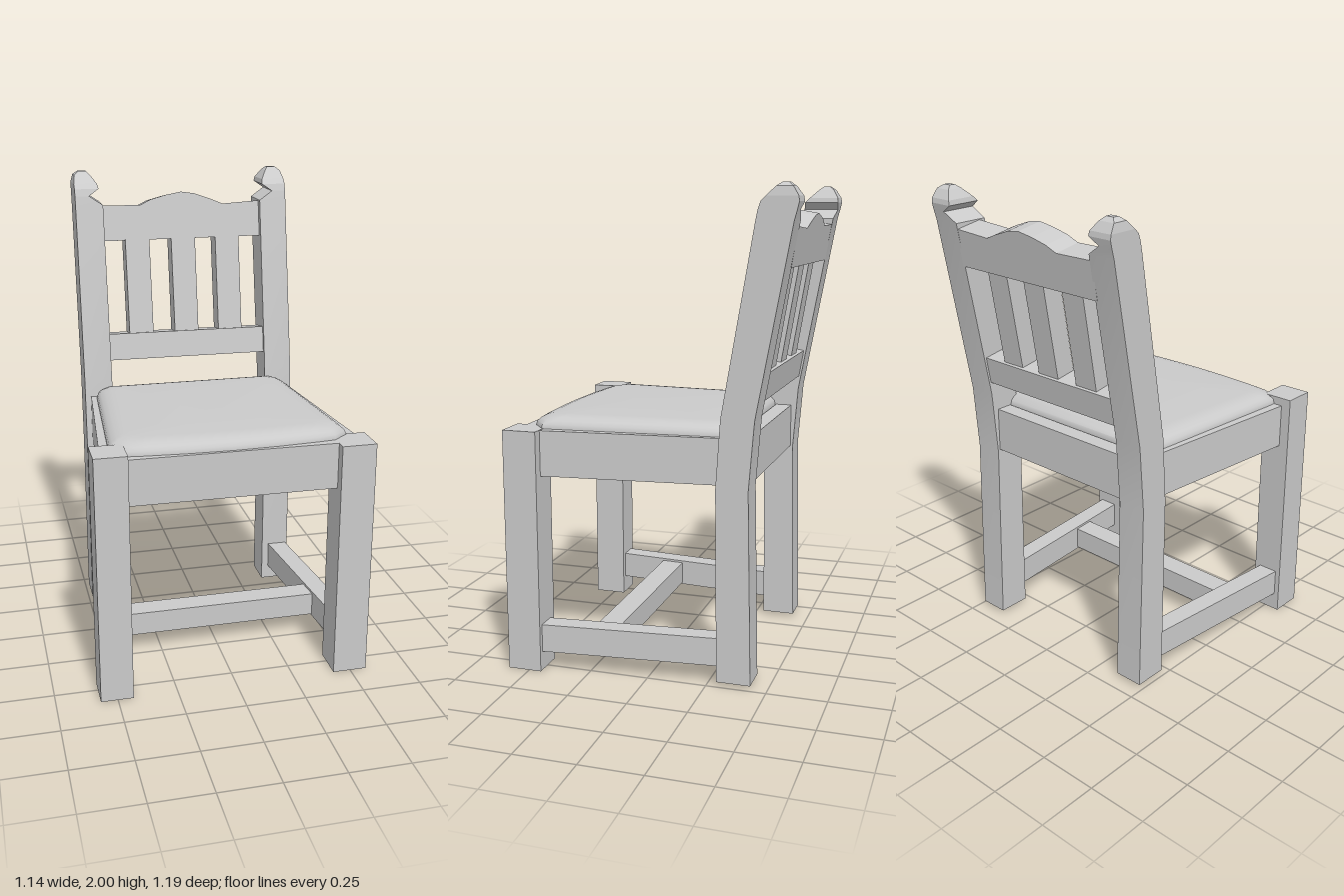
import * as THREE from 'three';
import { toCreasedNormals } from 'three/addons/utils/BufferGeometryUtils.js';

// Joins horizontal rings {y, pts: [[x, z], ...]} from the bottom up, with both ends closed.
function loft(rings, crease = 0.12) {
  const n = rings[0].pts.length;
  let area = 0;
  rings[0].pts.forEach(([x, z], i, p) => {
    const [x2, z2] = p[(i + 1) % n];
    area += x * z2 - x2 * z;
  });
  const pos = [], idx = [];
  for (const r of rings) {
    const pts = area > 0 ? [...r.pts].reverse() : r.pts;
    for (const [x, z] of pts) pos.push(x, r.y, z);
  }
  const addCentre = (r) => {
    const c = [0, 1].map((k) => r.pts.reduce((s, p) => s + p[k], 0) / n);
    pos.push(c[0], r.y, c[1]);
    return pos.length / 3 - 1;
  };
  const last = rings.length - 1;
  const bottom = addCentre(rings[0]), top = addCentre(rings[last]);
  for (let j = 0; j < n; j++) {
    const k = (j + 1) % n;
    for (let i = 0; i < last; i++) {
      const a = i * n + j, b = i * n + k;
      idx.push(a, b, b + n, a, b + n, a + n);
    }
    idx.push(bottom, k, j, top, last * n + j, last * n + k);
  }
  const g = new THREE.BufferGeometry();
  g.setAttribute('position', new THREE.Float32BufferAttribute(pos, 3));
  g.setIndex(idx);
  g.computeVertexNormals();
  return toCreasedNormals(g, crease);
}

const prism = (pts, y0, y1) => loft([{ y: y0, pts }, { y: y1, pts }]);
const rect = (x0, x1, z0, z1) => [[x0, z1], [x1, z1], [x1, z0], [x0, z0]];

// Panel that leans back along the slope of the rear posts, square to that slope.
function leaning(points, inset, depth) {
  const slope = 0.17;
  const shape = new THREE.Shape(points.map(([x, y]) => new THREE.Vector2(x, y)));
  const g = new THREE.ExtrudeGeometry(shape, { depth, bevelEnabled: false });
  const p = g.attributes.position;
  for (let i = 0; i < p.count; i++) {
    const y = p.getY(i), behind = p.getZ(i) - depth;
    p.setZ(i, -0.30 - slope * (y - 1.1) - inset + behind);
    p.setY(i, y + slope * behind);
  }
  g.computeVertexNormals();
  return g;
}

export function createModel() {
  const chair = new THREE.Group();
  chair.name = 'chair';
  const grey = new THREE.MeshStandardMaterial({ color: 0xcacaca });
  grey.name = 'plain grey';
  const add = (name, geometry) => {
    const mesh = new THREE.Mesh(geometry, grey);
    mesh.name = name;
    chair.add(mesh);
  };

  // Front legs, one slightly taller
  add('rightFrontLeg', prism(rect(-0.57, -0.435, 0.45, 0.59), 0, 1.055));
  add('leftFrontLeg', prism(rect(0.425, 0.57, 0.447, 0.592), 0, 1.022));

  // Rear posts with hooked finials: y, inner x, outer x, back z, front z
  const post = [
    [0.015, 0.36, 0.485, -0.432, -0.29],
    [0.82, 0.36, 0.485, -0.415, -0.282],
    [1.1, 0.36, 0.484, -0.437, -0.30],
    [1.86, 0.36, 0.482, -0.577, -0.43],
    [1.90, 0.42, 0.482, -0.588, -0.438],
    [1.93, 0.376, 0.482, -0.595, -0.448],
    [1.95, 0.38, 0.482, -0.592, -0.468],
    [1.985, 0.405, 0.475, -0.57, -0.505],
    [2.0, 0.42, 0.455, -0.55, -0.525],
  ];
  for (const [s, side] of [[1, 'left'], [-1, 'right']]) {
    add(side + 'RearPost', loft(post.map(([y, a, b, z0, z1]) =>
      ({ y, pts: rect(s * a, s * b, z0, z1) }))));
    // Side apron and side stretcher taper toward the back
    add(side + 'Apron', prism(
      [[s * 0.528, 0.46], [s * 0.458, -0.3], [s * 0.40, -0.3], [s * 0.47, 0.46]], 0.83, 1.02));
    add(side + 'Stretcher', prism(
      [[s * 0.549, 0.46], [s * 0.475, -0.3], [s * 0.39, -0.3], [s * 0.463, 0.46]], 0.08, 0.198));
  }

  // Remaining frame rails
  add('frontApron', prism(
    [[-0.44, 0.543], [0.44, 0.549], [0.44, 0.485], [-0.44, 0.48]], 0.828, 1.022));
  add('rearApron', prism(rect(-0.37, 0.37, -0.405, -0.335), 0.83, 1.02));
  add('crossStretcher', prism(rect(-0.47, 0.47, 0.14, 0.24), 0.087, 0.188));

  // Seat base and padded cushion, notched at the front legs
  add('seatBase', prism([[-0.49, 0.49], [0.49, 0.49], [0.415, -0.34], [-0.415, -0.34]], 0.86, 1.0));
  const half = [[0.18, 0.528], [0.36, 0.515], [0.425, 0.507], [0.45, 0.485], [0.487, 0.455],
    [0.487, 0.42], [0.437, -0.26], [0.425, -0.30], [0.40, -0.33]];
  const outline = [[0, 0.533], ...half, ...half.map(([x, z]) => [-x, z]).reverse()];
  const cushion = [[1.0, 0], [1.025, 0]];
  for (let i = 1; i <= 5; i++) {
    const t = (i / 5) * Math.PI / 2;
    cushion.push([1.025 + 0.047 * Math.sin(t), 0.09 * (1 - Math.cos(t))]);
  }
  add('cushion', loft(cushion.map(([y, d]) => ({
    y, pts: outline.map(([x, z]) => [x * (1 - d / 0.48), 0.1 + (z - 0.1) * (1 - d / 0.43)]),
  })), 0.7));

  // Backrest: crested top rail, lower rail and three slats
  add('topRail', leaning([[-0.37, 1.70], [0.37, 1.70], [0.37, 1.857], [0.19, 1.847],
    [0.14, 1.868], [0.06, 1.896], [0, 1.905], [-0.07, 1.893], [-0.14, 1.875],
    [-0.19, 1.852], [-0.37, 1.855]], 0.028, 0.115));
  add('lowerRail', leaning([[-0.37, 1.175], [0.37, 1.172], [0.37, 1.288], [-0.37, 1.292]],
    0.016, 0.11));
  for (const x of [-0.21, 0, 0.205]) {
    add('slat', leaning([[x - 0.055, 1.27], [x + 0.055, 1.27], [x + 0.055, 1.72],
      [x - 0.055, 1.72]], 0.024, 0.088));
  }
  return chair;
}
